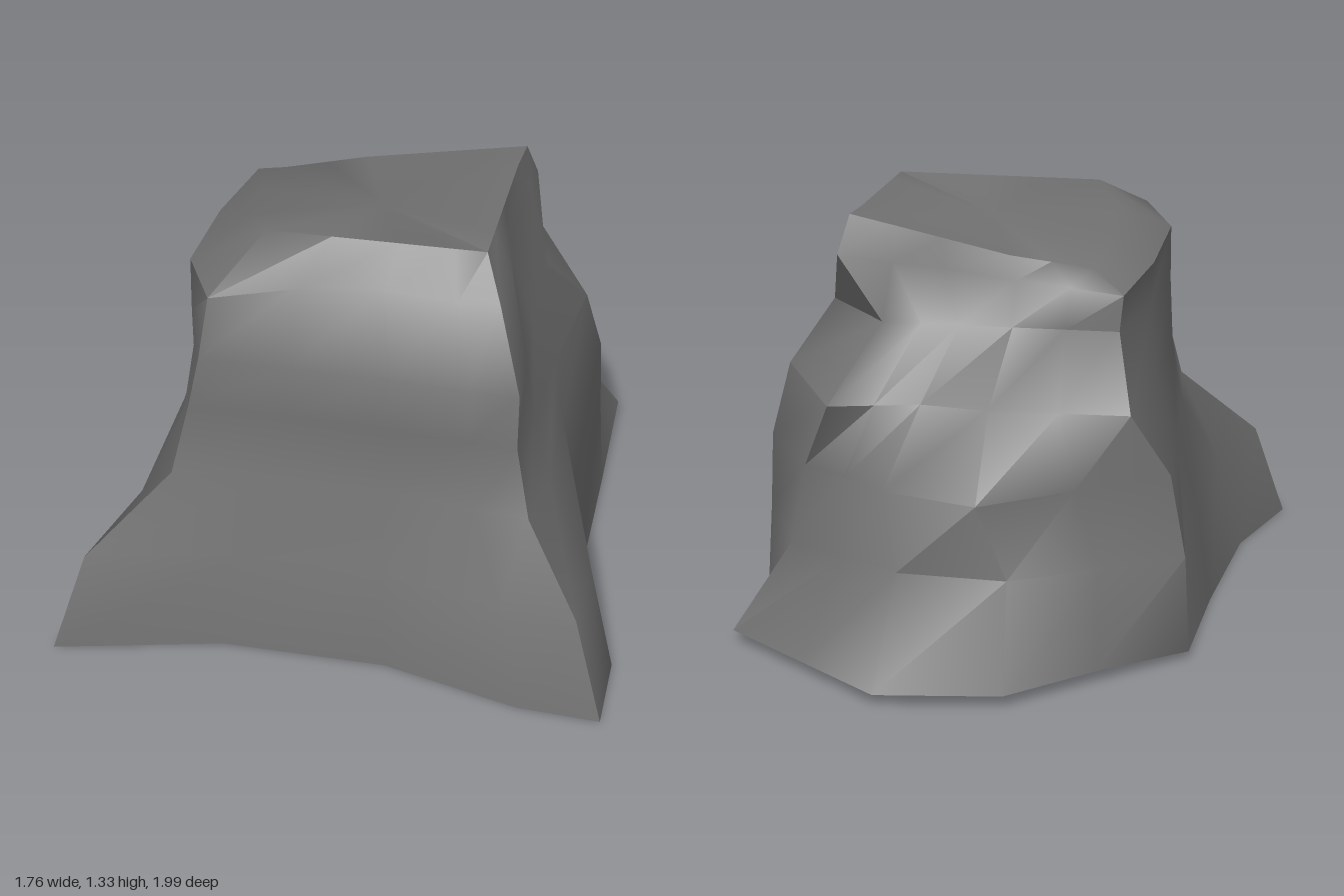
import * as THREE from 'three';
import { toCreasedNormals } from 'three/addons/utils/BufferGeometryUtils.js';

// Cross-sections from the ground up. ridges: [x, z] of front left-hand corner, front right-hand corner,
// side, back corner, two points of the back bulge, and the other back corner.
// dent and hollow push the faces between the ridges inwards.
const SECTIONS = [
  { y: 0, dent: .12, hollow: .07, ridges: [[-.88, .99], [.88, .97], [.72, -.2], [.72, -.6], [.16, -1], [-.23, -.93], [-.73, -.43]] },
  { y: .33, dent: .1, hollow: .07, ridges: [[-.78, .91], [.78, .89], [.7, -.2], [.54, -.52], [.15, -.72], [-.2, -.72], [-.71, -.41]] },
  { y: .58, dent: .04, hollow: -.01, ridges: [[-.53, .74], [.6, .74], [.69, -.2], [.5, -.49], [.2, -.68], [-.11, -.76], [-.65, -.35]] },
  { y: .81, dent: .01, hollow: -.05, ridges: [[-.48, .69], [.55, .69], [.64, -.15], [.4, -.58], [.12, -.5], [-.1, -.52], [-.54, -.48]] },
  { y: 1, dent: .01, hollow: -.08, ridges: [[-.44, .69], [.55, .68], [.52, -.02], [.3, -.26], [.05, -.25], [-.12, -.24], [-.46, -.22]] },
  { y: 1.21, dent: .06, hollow: -.1, ridges: [[-.41, .66], [.46, .52], [.455, -.1], [.45, -.24], [.1, -.21], [-.13, -.22], [-.47, -.21]] },
  { y: 1.33, dent: 0, hollow: -.07, ridges: [[-.28, .44], [.4, .42], [.41, -.08], [.42, -.19], [.12, -.19], [-.1, -.19], [-.36, -.14]] },
];

// Extra points after each ridge: [fraction of the way to the next ridge, share of the dent]
const SPANS = [
  [[.3, 1], [.6, 1], [.85, .1]],
  [[.22, -.3], [.55, .6]],
  [],
  [[.5, 0]],
  [],
  [[.5, 0]],
  [[.35, .7], [.73, 1]],
];

// The foot lifts at the back, and the crown sinks towards one back corner
function height(y, x, z) {
  const sink = Math.max(0, .043 - .208 * x - .231 * z);
  if (y === 0) return Math.min(.04, .1 * Math.max(0, -z - .2));
  if (y > 1.3) return y - sink;
  return y > 1.1 ? y - sink / 2 : y;
}

// Fills in a section between its ridges
function ringPoints({ y, dent, hollow, ridges }) {
  const points = [];
  ridges.forEach(([ax, az], k) => {
    const [bx, bz] = ridges[(k + 1) % ridges.length];
    const dx = bx - ax, dz = bz - az, length = Math.hypot(dx, dz);
    const depth = k === ridges.length - 1 ? hollow : dent;
    for (const [t, share] of [[0, 0], ...SPANS[k]]) {
      const inward = depth * share / length;
      const x = ax + dx * t + dz * inward, z = az + dz * t - dx * inward;
      points.push([x, height(y, x, z), z]);
    }
  });
  return points;
}

// Skins the rings and closes both ends with fans
function loft(rings, bottomCentre, topCentre) {
  const n = rings[0].length, last = (rings.length - 1) * n;
  const bottom = rings.length * n, top = bottom + 1;
  const positions = [...rings.flat(2), ...bottomCentre, ...topCentre];
  const index = [];
  for (let i = 0; i < n; i++) {
    const j = (i + 1) % n;
    for (let r = 0; r < last; r += n) {
      index.push(r + i, r + j, r + n + j, r + i, r + n + j, r + n + i);
    }
    index.push(bottom, j, i, top, last + i, last + j);
  }
  const geometry = new THREE.BufferGeometry();
  geometry.setAttribute('position', new THREE.Float32BufferAttribute(positions, 3));
  geometry.setIndex(index);
  return toCreasedNormals(geometry, .85);
}

export function createModel() {
  const group = new THREE.Group();
  group.name = 'rockOutcrop';

  const stone = new THREE.MeshStandardMaterial({ color: 0x707070 });
  stone.name = 'grey stone';

  // Weathered boulder with a flared foot and a slightly dished top
  const boulder = new THREE.Mesh(loft(SECTIONS.map(ringPoints), [0, .01, 0], [.02, 1.27, .14]), stone);
  boulder.name = 'boulder';
  group.add(boulder);
  return group;
}
